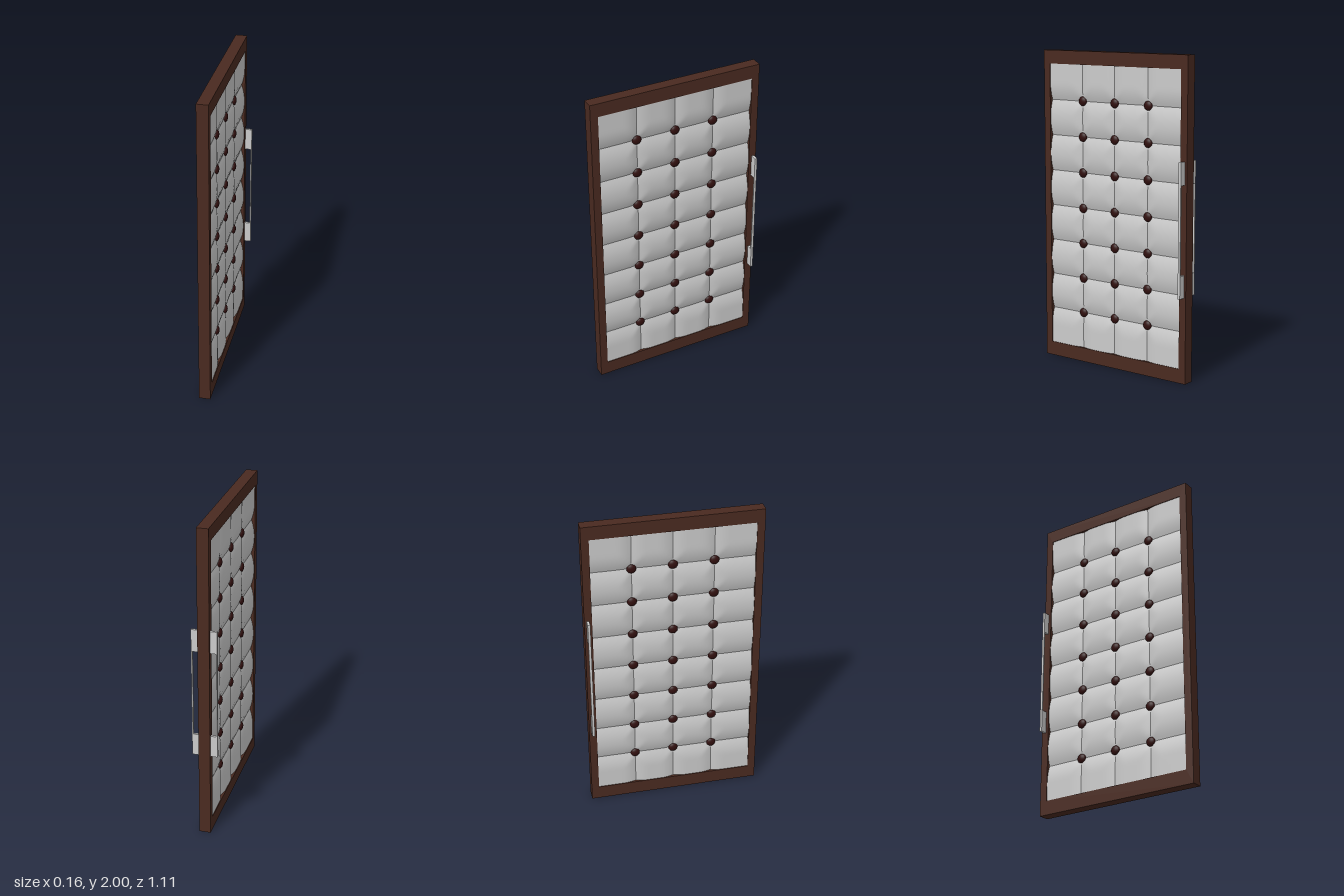
import * as THREE from 'three';
import { mergeGeometries } from 'three/addons/utils/BufferGeometryUtils.js';

const HALF_T = 0.036;                       // half thickness of the door
const SEAMS_U = [-0.255, -0.003, 0.252];    // vertical seams
const SEAMS_Y = [0.32, 0.548, 0.776, 1.004, 1.232, 1.46, 1.686];
const EDGES_U = [-0.505, ...SEAMS_U, 0.505];
const EDGES_Y = [0.09, ...SEAMS_Y, 1.915];

const mat = (color, side = THREE.FrontSide) =>
  new THREE.MeshStandardMaterial({ color, side, roughness: 0.8 });

function mesh(name, geometry, material, x = 0, y = 0, z = 0) {
  const m = new THREE.Mesh(geometry, material);
  m.name = name;
  m.position.set(x, y, z);
  return m;
}

// Rectangular frame with an opening for the padding
function frameGeometry() {
  const rect = (P, a, b, c, d) => new P([[a, b], [c, b], [c, d], [a, d]].map(p => new THREE.Vector2(...p)));
  const shape = rect(THREE.Shape, -0.553, 0, 0.553, 2);
  shape.holes.push(rect(THREE.Path, -0.505, 0.09, 0.505, 1.915));
  return new THREE.ExtrudeGeometry(shape, { depth: HALF_T * 2, bevelEnabled: false })
    .translate(0, 0, -HALF_T).rotateY(Math.PI / 2);
}

// Distance to the nearest seam, eased to 1 over the given radius
function puff(t, seams, radius) {
  const d = Math.min(...seams.map(s => Math.abs(t - s)));
  return 1 - (1 - Math.min(d / radius, 1)) ** 2;
}

// Padding surface: soft pillows, pulled down along seams and at buttons
function paddingHeight(u, y) {
  const fu = puff(u, SEAMS_U, 0.08), fy = puff(y, SEAMS_Y, 0.11);
  const drop = Math.max(0.015 * (1 - fu), 0.02 * (1 - fy)) + 0.006 * (1 - fu) * (1 - fy);
  return 0.032 - drop;
}

// One grid per pillow so that seams stay sharp and pillows stay smooth
function paddingGeometry() {
  const cells = [];
  for (let i = 0; i < EDGES_U.length - 1; i++) {
    for (let j = 0; j < EDGES_Y.length - 1; j++) {
      const w = EDGES_U[i + 1] - EDGES_U[i], h = EDGES_Y[j + 1] - EDGES_Y[j];
      const g = new THREE.PlaneGeometry(w, h, 12, 12);
      g.translate(EDGES_U[i] + w / 2, EDGES_Y[j] + h / 2, 0);
      const p = g.attributes.position;
      for (let k = 0; k < p.count; k++) p.setZ(k, paddingHeight(p.getX(k), p.getY(k)));
      g.computeVertexNormals();
      cells.push(g);
    }
  }
  return mergeGeometries(cells).rotateY(Math.PI / 2);
}

export function createModel() {
  const model = new THREE.Group();
  model.name = 'paddedDoor';
  const wood = mat(0x4a2a20), buttonMat = mat(0x32100f), grey = mat(0xcccccc);
  const cloth = mat(0xcccccc, THREE.DoubleSide);

  model.add(mesh('frame', frameGeometry(), wood));

  const padding = paddingGeometry();
  const button = new THREE.SphereGeometry(0.03, 16, 12).scale(0.6, 1, 1);

  for (const s of [1, -1]) {
    const side = new THREE.Group();
    side.name = s > 0 ? 'leftFace' : 'rightFace';

    // Padding and its buttons, flipped for the other face
    const pad = mesh('padding', padding, cloth);
    if (s < 0) {
      pad.geometry = padding.clone().rotateY(Math.PI);
    }
    side.add(pad);
    for (const u of SEAMS_U) {
      for (const y of SEAMS_Y) side.add(mesh('button', button, buttonMat, s * 0.013, y, -u * s));
    }

    // Pull handle: slim grip with a block at each end
    const handle = new THREE.Group();
    handle.name = 'handle';
    handle.add(mesh('grip', new THREE.BoxGeometry(0.008, 0.83, 0.016), grey, s * 0.075, 0.955, -0.531));
    for (const y of [0.61, 1.3]) {
      handle.add(mesh('handleMount', new THREE.BoxGeometry(0.042, 0.14, 0.016), grey, s * 0.056, y, -0.531));
    }
    side.add(handle);
    model.add(side);
  }
  return model;
}
